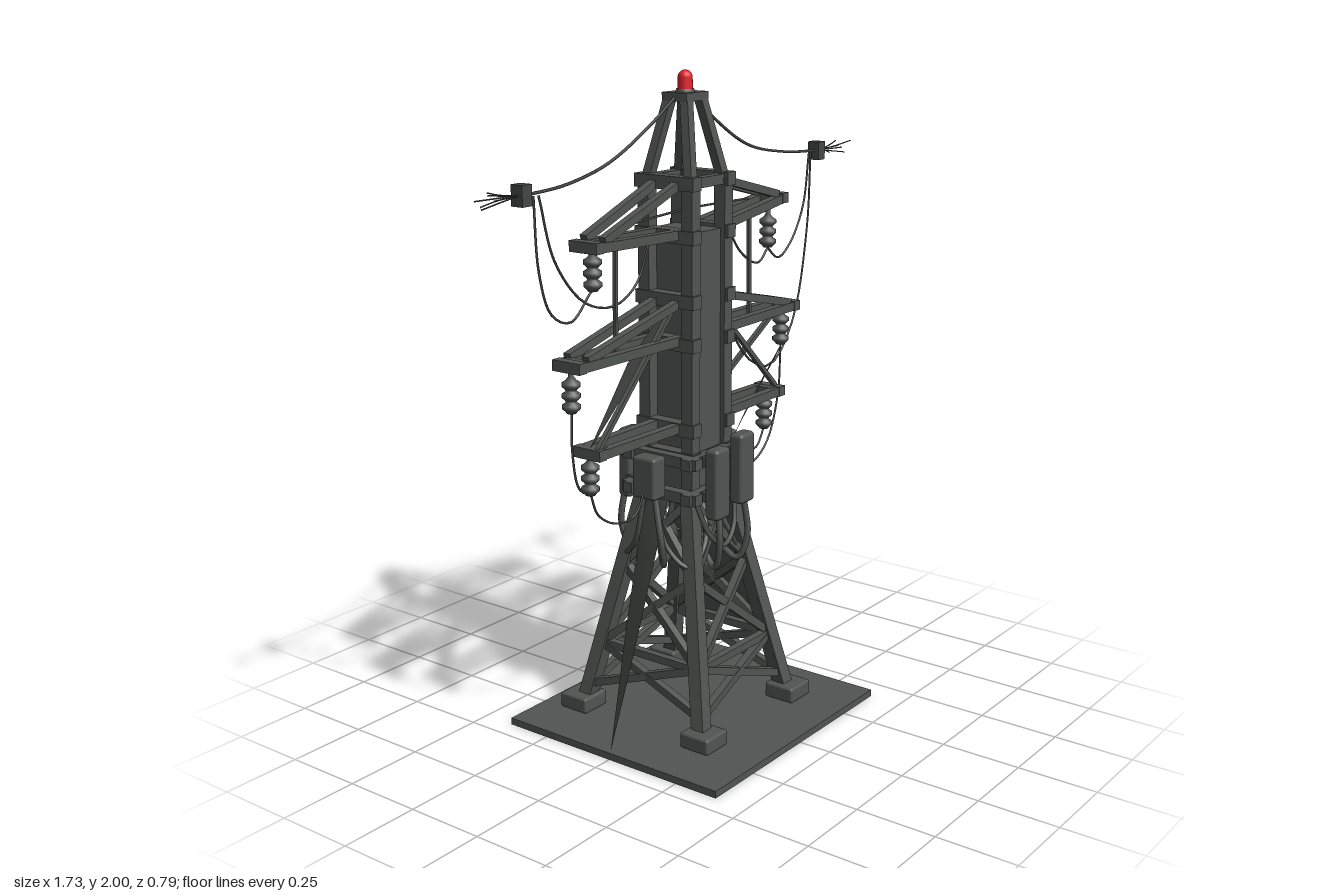
import * as THREE from 'three';
import { RoundedBoxGeometry } from 'three/addons/geometries/RoundedBoxGeometry.js';

const V = (p) => new THREE.Vector3(...p);

export function createModel() {
  const steel = new THREE.MeshStandardMaterial({ color: 0x515552 });
  steel.name = 'dark steel';
  const sheet = new THREE.MeshStandardMaterial({ color: 0x515552, side: THREE.DoubleSide });
  sheet.name = 'grey sheet';
  const cable = new THREE.MeshStandardMaterial({ color: 0x444745 });
  cable.name = 'cable grey';
  const red = new THREE.MeshStandardMaterial({ color: 0xe0202a });
  red.name = 'lamp red';

  const model = new THREE.Group();
  model.name = 'pylon';
  const tower = new THREE.Group();
  tower.name = 'tower';
  tower.position.set(-0.003, 0, -0.041);
  model.add(tower);

  const add = (name, geo, mat, pos = [0, 0, 0], parent = tower) => {
    const m = new THREE.Mesh(geo, mat);
    m.name = name;
    m.position.set(...pos);
    parent.add(m);
    return m;
  };
  // Square bar between two points
  const beam = (name, a, b, w) => {
    const A = V(a), B = V(b), length = A.distanceTo(B);
    const m = add(name, new THREE.BoxGeometry(w, w, length), steel);
    const up = Math.abs(B.y - A.y) > 0.95 * length ? V([0, 0, 1]) : V([0, 1, 0]);
    m.position.copy(A).add(B).multiplyScalar(0.5);
    m.quaternion.setFromRotationMatrix(new THREE.Matrix4().lookAt(B, A, up));
  };
  const wire = (name, pts, r = 0.003, mat = cable) =>
    add(name, new THREE.TubeGeometry(new THREE.CatmullRomCurve3(pts.map(V)), 24, r, 6), mat);
  // Ruled sheet from rows of left and right edge points
  const cloth = (name, rows) => {
    const g = new THREE.BufferGeometry(), idx = [];
    g.setAttribute('position', new THREE.Float32BufferAttribute(rows.flat(2), 3));
    for (let i = 0; i < rows.length - 1; i++) {
      const k = i * 2;
      idx.push(k, k + 2, k + 1, k + 1, k + 2, k + 3);
    }
    g.setIndex(idx);
    g.computeVertexNormals();
    add(name, g, sheet);
  };

  // Ground plate
  add('groundPlate', new THREE.BoxGeometry(0.85, 0.022, 0.79), steel, [-0.013, 0.011, 0], model);

  // Feet, splayed legs, column posts and peak
  const legX = (y) => 0.22 - (0.132 * (y - 0.06)) / 0.69;
  const legZ = (y) => 0.225 - (0.145 * (y - 0.06)) / 0.69;
  for (const sx of [-1, 1]) for (const sz of [-1, 1]) {
    add('foot', new RoundedBoxGeometry(0.104, 0.05, 0.104, 2, 0.008), steel, [sx * 0.225, 0.045, sz * 0.237]);
    beam('leg', [sx * 0.22, 0.05, sz * 0.225], [sx * 0.088, 0.76, sz * 0.08], 0.044);
    beam('columnPost', [sx * 0.08, 0.74, sz * 0.08], [sx * 0.08, 1.69, sz * 0.08], 0.04);
    beam('peakLeg', [sx * 0.08, 1.68, sz * 0.08], [sx * 0.034, 1.92, sz * 0.03], 0.028);
  }
  add('peakCap', new THREE.BoxGeometry(0.105, 0.025, 0.09), steel, [0, 1.925, 0]);
  add('lampBase', new THREE.CylinderGeometry(0.026, 0.03, 0.01, 16), steel, [0, 1.941, 0]);
  add('warningLamp', new THREE.CylinderGeometry(0.022, 0.023, 0.033, 16), red, [0, 1.9615, 0]);
  add('warningLampTop', new THREE.SphereGeometry(0.022, 16, 8, 0, Math.PI * 2, 0, Math.PI / 2), red, [0, 1.978, 0]);

  // Lattice bracing on all four faces
  const levels = [0.1, 0.24, 0.5, 0.73];
  levels.forEach((y, i) => {
    for (const s of [-1, 1]) {
      const x = legX(y), z = legZ(y);
      if (i % 2) {
        beam('braceBar', [-x, y, s * z], [x, y, s * z], 0.024);
        beam('braceBar', [s * x, y, -z], [s * x, y, z], 0.024);
      }
      if (i === levels.length - 1) continue;
      const t = levels[i + 1], X = legX(t), Z = legZ(t);
      for (const d of [-1, 1]) {
        beam('braceDiagonal', [-d * x, y, s * z], [d * X, t, s * Z], 0.024);
        beam('braceDiagonal', [s * x, y, -d * z], [s * X, t, d * Z], 0.024);
      }
    }
  });

  // Column core and collars
  add('columnCore', new THREE.BoxGeometry(0.124, 0.8, 0.17), steel, [0, 1.14, 0]);
  for (const s of [-1, 1]) {
    for (const y of [0.86, 0.95, 1.21, 1.34, 1.53, 1.685]) {
      beam('collarSide', [s * 0.085, y, -0.108], [s * 0.085, y, 0.108], 0.04);
      if (y > 1.6) beam('collarFront', [-0.1, y, s * 0.08], [0.1, y, s * 0.08], 0.03);
    }
    for (const y of [0.75, 0.86]) {
      beam('equipmentRail', [-0.15, y, s * 0.11], [0.15, y, s * 0.11], 0.034);
      beam('equipmentRail', [s * 0.12, y, -0.14], [s * 0.12, y, 0.14], 0.034);
      for (const x of [-0.075, 0.055]) beam('equipmentBracket', [x, y, s * 0.08], [x, y, s * 0.165], 0.03);
    }
  }

  // Cross arms: paired lower and upper chords with an end bar
  const arm = (s, len, rootY, tipY, topY) => {
    for (const sz of [-1, 1]) {
      beam('armLowerChord', [s * 0.08, rootY, sz * 0.042], [s * len, tipY, sz * 0.034], 0.028);
      if (topY) beam('armUpperChord', [s * 0.08, topY, sz * 0.042], [s * (len - 0.04), tipY + 0.015, sz * 0.034], 0.024);
    }
    beam('armEnd', [s * (len - 0.01), tipY, -0.05], [s * (len - 0.01), tipY, 0.05], 0.032);
    // Carrier for the insulator
    const f = (len - 0.03 - 0.08) / (len - 0.08);
    const y = rootY + (tipY - rootY) * f;
    beam('insulatorCarrier', [s * (len - 0.035), y, -0.034], [s * (len - 0.035), y, 0.034], 0.03);
  };
  arm(-1, 0.46, 1.535, 1.545, 1.685);
  arm(1, 0.465, 1.53, 1.58, 1.685);
  for (const s of [-1, 1]) {
    arm(s, 0.54, 1.22, 1.222, 1.335);
    arm(s, 0.46, 0.953, 0.953, 0);
    beam('armHanger', [s * 0.33, 1.22, 0], [s * 0.325, 1.56, 0], 0.011);
  }
  beam('armStrut', [0.1, 1.31, 0.02], [0.45, 0.97, 0.02], 0.014);
  beam('armStrut', [0.11, 0.97, -0.02], [0.5, 1.2, -0.02], 0.014);
  beam('armStrut', [-0.1, 1.32, 0.03], [-0.45, 0.965, 0.03], 0.014);

  // Insulator strings
  const profile = [[0, 0], [0.014, 0.002]];
  for (let i = 0; i < 3; i++) {
    const y = 0.008 + i * 0.032;
    profile.push([0.018, y], [0.027, y + 0.008], [0.027, y + 0.018], [0.015, y + 0.026]);
  }
  profile.push([0.008, 0.108], [0.008, 0.14], [0, 0.14]);
  const insulatorGeo = new THREE.LatheGeometry(profile.map((p) => new THREE.Vector2(...p)), 14);
  for (const [x, y] of [[-0.425, 1.415], [0.43, 1.42], [-0.525, 1.085], [0.51, 1.09], [-0.45, 0.825], [0.42, 0.825]])
    add('insulator', insulatorGeo, steel, [x, y, 0]);

  // Equipment cases around the column
  const caseGeo = new RoundedBoxGeometry(0.072, 0.22, 0.048, 3, 0.012);
  for (const s of [-1, 1]) {
    add('tallCase', caseGeo, steel, [-0.075 * s, s > 0 ? 0.8 : 0.82, s * 0.176]);
    add('tallCase', caseGeo, steel, [0.05 * s, s > 0 ? 0.82 : 0.8, s * 0.176]);
    add('sideCase', new RoundedBoxGeometry(0.06, 0.13, 0.085, 3, 0.01), steel, [s * 0.182, 0.815, 0]);
    // Drooping feed cables
    for (const x of [-0.075, 0.055]) {
      wire('feedCable', [[x, 0.72, s * 0.18], [x * 1.1, 0.6, s * 0.19], [x * 0.9, 0.525, s * 0.16], [x * 0.6, 0.58, s * 0.1], [x * 0.5, 0.73, s * 0.06]], 0.01, steel);
      wire('cornerCable', [[x * 2.4, 0.76, s * 0.02], [x * 2.3, 0.6, s * 0.06], [x * 1.9, 0.54, s * 0.12], [x, 0.6, s * 0.13], [x * 0.3, 0.73, s * 0.08]], 0.008, steel);
    }
    wire('sideCable', [[s * 0.18, 0.76, 0.02], [s * 0.185, 0.6, 0.05], [s * 0.15, 0.53, 0.03], [s * 0.11, 0.6, -0.02], [s * 0.08, 0.74, -0.04]], 0.01, steel);
    wire('frontLoop', [[-0.1, 0.74, s * 0.11], [-0.06, 0.62, s * 0.14], [0, 0.58, s * 0.15], [0.06, 0.62, s * 0.14], [0.1, 0.74, s * 0.11]], 0.008, steel);
  }

  // Torn sheets
  cloth('leftArmSheet', [[[-0.11, 1.345, 0.03], [-0.12, 1.2, -0.03]], [[-0.3, 1.19, 0.02], [-0.28, 1.075, -0.02]], [[-0.45, 0.965, 0], [-0.445, 0.95, -0.01]]]);
  cloth('rightSheet', [[[0.525, 1.11, 0.005], [0.53, 1.08, -0.01]], [[0.31, 0.945, 0.02], [0.33, 0.86, -0.03]],
    [[0.11, 0.775, 0.045], [0.145, 0.64, -0.06]], [[0.155, 0.5, 0.12], [0.155, 0.5, -0.11]],
    [[0.184, 0.35, 0.165], [0.184, 0.35, -0.14]], [[0.203, 0.24, 0.18], [0.206, 0.235, -0.15]]]);
  cloth('groundSheet', [[[-0.12, 0.76, 0.03], [-0.1, 0.74, -0.07]], [[-0.21, 0.56, 0.04], [-0.14, 0.56, -0.08]],
    [[-0.31, 0.3, 0.04], [-0.19, 0.3, -0.09]], [[-0.425, 0.024, 0.04], [-0.23, 0.024, -0.09]]]);

  // Overhead lines, end clamps and frayed strands
  wire('overheadLine', [[-0.03, 1.935, 0], [-0.17, 1.85, 0], [-0.35, 1.765, 0], [-0.53, 1.725, 0], [-0.7, 1.715, 0]], 0.0045);
  wire('overheadLine', [[0.03, 1.935, 0], [0.15, 1.845, 0], [0.32, 1.755, 0], [0.52, 1.715, 0], [0.7, 1.702, 0]], 0.0045);
  for (const [s, y] of [[-1, 1.717], [1, 1.702]]) {
    add('lineClamp', new THREE.BoxGeometry(0.038, 0.058, 0.04), cable, [s * 0.705, y, 0]);
    for (let i = 0; i < 6; i++) {
      const dy = ((i % 3) - 1) * 0.02, dz = (i - 2.5) * 0.012;
      wire('frayedStrand', [[s * 0.71, y, 0], [s * 0.78, y + dy * 0.4, dz * 0.6], [s * (0.83 + (i % 2) * 0.035), y + dy, dz]], 0.002);
    }
  }

  // Hanging wires
  const hanging = [
    [[-0.66, 1.71], [-0.645, 1.5], [-0.6, 1.38], [-0.52, 1.345], [-0.43, 1.42]],
    [[-0.64, 1.71], [-0.58, 1.52], [-0.46, 1.39], [-0.33, 1.36], [-0.23, 1.41], [-0.17, 1.53]],
    [[0.67, 1.7], [0.655, 1.45], [0.58, 1.16], [0.46, 1.035], [0.34, 1.07], [0.22, 1.2], [0.1, 1.34]],
    [[0.66, 1.7], [0.63, 1.53], [0.56, 1.42], [0.49, 1.38], [0.43, 1.42]],
    [[0.43, 1.42], [0.38, 1.38], [0.28, 1.43], [0.17, 1.59]],
    [[-0.525, 1.09], [-0.525, 0.97], [-0.5, 0.86], [-0.45, 0.825]],
    [[-0.45, 0.83], [-0.42, 0.76], [-0.34, 0.71], [-0.25, 0.71], [-0.19, 0.8]],
    [[0.51, 1.09], [0.5, 0.93], [0.44, 0.78], [0.35, 0.725], [0.25, 0.75], [0.18, 0.83]],
    [[0.42, 0.83], [0.38, 0.775], [0.3, 0.78], [0.2, 0.86]],
    [[-0.32, 1.58], [0, 1.595], [0.32, 1.59]],
  ];
  for (const pts of hanging) wire('hangingWire', pts.map(([x, y]) => [x, y, 0]), 0.0035);

  return model;
}
